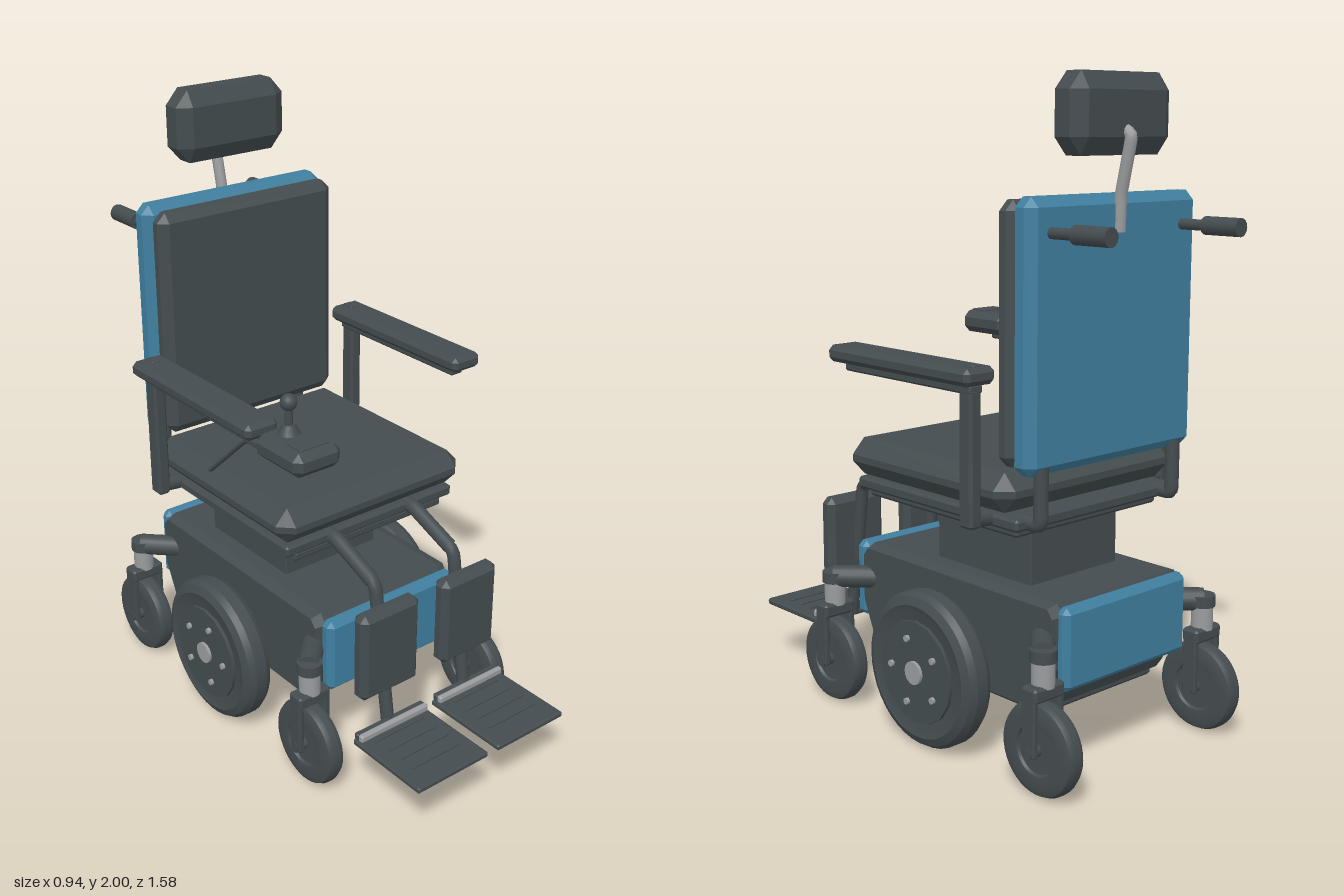
import * as THREE from 'three';
import { ConvexGeometry } from 'three/addons/geometries/ConvexGeometry.js';
import { toCreasedNormals } from 'three/addons/utils/BufferGeometryUtils.js';

const paint = (name, color) => {
  const m = new THREE.MeshStandardMaterial({ color });
  m.name = name;
  return m;
};

export function createModel() {
  const dark = paint('charcoal', 0x444c4f);
  const blue = paint('blue', 0x3f7f9f);
  const silver = paint('silver', 0x9a9c9e);

  const model = new THREE.Group();
  model.name = 'powerWheelchair';
  const chair = new THREE.Group();
  chair.name = 'chair';
  chair.position.x = 0.008;
  model.add(chair);

  const add = (name, geo, mat, x = 0, y = 0, z = 0, parent = chair) => {
    const mesh = new THREE.Mesh(geo, mat);
    mesh.name = name;
    mesh.position.set(x, y, z);
    parent.add(mesh);
    return mesh;
  };

  // Box given by its extents, with every edge chamfered
  const block = (name, mat, [x0, x1], [y0, y1], [z0, z1], c = 0.01, parent = chair) => {
    const [cx, cy, cz] = Array.isArray(c) ? c : [c, c, c];
    const hx = (x1 - x0) / 2, hy = (y1 - y0) / 2, hz = (z1 - z0) / 2;
    const pts = [];
    for (const i of [-1, 1]) for (const j of [-1, 1]) for (const k of [-1, 1]) {
      pts.push(new THREE.Vector3(i * hx, j * (hy - cy), k * (hz - cz)),
        new THREE.Vector3(i * (hx - cx), j * hy, k * (hz - cz)),
        new THREE.Vector3(i * (hx - cx), j * (hy - cy), k * hz));
    }
    return add(name, new ConvexGeometry(pts), mat, (x0 + x1) / 2, (y0 + y1) / 2, (z0 + z1) / 2, parent);
  };

  // Straight round bar between two points
  const rod = (name, mat, a, b, r, parent = chair) => {
    const p = new THREE.Vector3(...a), d = new THREE.Vector3(...b).sub(p);
    const mesh = add(name, new THREE.CylinderGeometry(r, r, d.length(), 16), mat, 0, 0, 0, parent);
    mesh.position.copy(p).addScaledVector(d, 0.5);
    mesh.quaternion.setFromUnitVectors(new THREE.Vector3(0, 1, 0), d.normalize());
    return mesh;
  };

  // Bent round bar; each corner is slightly rounded
  const bentTube = (name, mat, points, r, parent = chair) => {
    const v = points.map(p => new THREE.Vector3(...p));
    const path = new THREE.CurvePath();
    let last = v[0];
    for (let i = 1; i < v.length - 1; i++) {
      const a = v[i].clone().lerp(v[i - 1], 0.15), b = v[i].clone().lerp(v[i + 1], 0.15);
      path.add(new THREE.LineCurve3(last, a));
      path.add(new THREE.QuadraticBezierCurve3(a, v[i], b));
      last = b;
    }
    path.add(new THREE.LineCurve3(last, v[v.length - 1]));
    return add(name, new THREE.TubeGeometry(path, 32, r, 12), mat, 0, 0, 0, parent);
  };

  // Wheel turned about the x axis; profile is [radius, offset]
  const turned = (profile) => {
    const g = new THREE.LatheGeometry(profile.map(p => new THREE.Vector2(...p)), 40);
    g.rotateZ(-Math.PI / 2);
    return toCreasedNormals(g, 0.5);
  };

  // Headrest
  block('headrest', dark, [-0.203, 0.203], [1.772, 2], [-0.597, -0.482], [0.045, 0.05, 0.03]);
  bentTube('headrestPost', silver, [[0, 1.85, -0.575], [0, 1.825, -0.61], [0, 1.66, -0.573], [0, 1.56, -0.57]], 0.018);

  // Backrest
  block('backShell', blue, [-0.347, 0.347], [0.9, 1.667], [-0.57, -0.482], 0.028);
  block('backPad', dark, [-0.337, 0.337], [0.912, 1.656], [-0.485, -0.412], [0.03, 0.03, 0.025]);

  // Seat
  block('seatCushion', dark, [-0.367, 0.367], [0.78, 0.897], [-0.49, 0.238], [0.045, 0.048, 0.045]);
  block('seatPlate', dark, [-0.337, 0.337], [0.735, 0.772], [-0.51, 0.21], 0.008);
  block('seatSupport', dark, [-0.3, 0.3], [0.705, 0.738], [-0.47, 0.2], 0.008);
  block('seatColumn', dark, [-0.185, 0.185], [0.5, 0.71], [-0.412, 0], 0.004);

  // Power base: side outline swept across the width with chamfered flanks
  const outline = new THREE.Shape([[-0.57, 0.515], [-0.59, 0.49], [-0.59, 0.34], [-0.53, 0.215],
    [0.21, 0.215], [0.265, 0.34], [0.265, 0.49], [0.245, 0.515]].map(p => new THREE.Vector2(-p[0], p[1])));
  const baseGeo = new THREE.ExtrudeGeometry(outline, {
    depth: 0.48, bevelEnabled: true, bevelSegments: 1, bevelThickness: 0.035, bevelSize: 0.012,
  });
  baseGeo.translate(0, 0, -0.24).rotateY(Math.PI / 2);
  add('powerBase', baseGeo, dark);
  block('baseTray', dark, [-0.24, 0.24], [0.172, 0.21], [-0.52, 0.2], 0.01);
  block('frontPanel', blue, [-0.262, 0.262], [0.275, 0.525], [0.27, 0.326], 0.018);
  block('rearPanel', blue, [-0.262, 0.262], [0.275, 0.525], [-0.635, -0.585], 0.018);

  const tyre = turned([[0, -0.045], [0.185, -0.045], [0.205, -0.052], [0.23, -0.04], [0.242, -0.02],
    [0.242, 0.02], [0.23, 0.04], [0.205, 0.052], [0.185, 0.045], [0, 0.045]]);
  const casterTyre = turned([[0, -0.022], [0.07, -0.022], [0.075, -0.03], [0.11, -0.034], [0.132, -0.026], [0.14, -0.01],
    [0.14, 0.01], [0.132, 0.026], [0.11, 0.034], [0.075, 0.03], [0.07, 0.022], [0, 0.022]]);

  for (const s of [-1, 1]) {
    const side = s > 0 ? 'left' : 'right';
    const span = (a, b) => (s > 0 ? [a, b] : [-b, -a]);

    // Drive wheel, hub cap and bolts
    const wheel = new THREE.Group();
    wheel.name = side + 'DriveWheel';
    wheel.position.set(s * 0.355, 0.243, -0.15);
    chair.add(wheel);
    add('driveTyre', tyre, dark, 0, 0, 0, wheel);
    rod('driveHub', dark, [s * 0.03, 0, 0], [s * 0.056, 0, 0], 0.16, wheel);
    rod('hubCap', silver, [s * 0.05, 0, 0], [s * 0.066, 0, 0], 0.036, wheel);
    for (let i = 0; i < 5; i++) {
      const a = i * Math.PI * 0.4 + 0.3;
      const y = 0.105 * Math.cos(a), z = 0.105 * Math.sin(a);
      rod('hubBolt', silver, [s * 0.05, y, z], [s * 0.066, y, z], 0.01, wheel);
    }
    rod('driveAxle', dark, [s * -0.12, 0, 0], [0, 0, 0], 0.05, wheel);

    // Front and rear casters on their suspension arms
    for (const [end, z, armZ] of [['Front', 0.33, 0.2], ['Rear', -0.628, -0.5]]) {
      const caster = new THREE.Group();
      caster.name = side + end + 'Caster';
      caster.position.set(s * 0.346, 0, z);
      chair.add(caster);
      add('casterTyre', casterTyre, dark, 0, 0.142, 0, caster);
      rod('casterAxle', dark, [-0.062, 0.142, 0], [0.062, 0.142, 0], 0.018, caster);
      for (const k of [-0.05, 0.05])
        block('forkLeg', dark, [k - 0.01, k + 0.01], [0.13, 0.33], [-0.025, 0.025], 0.004, caster);
      block('forkCrown', dark, [-0.06, 0.06], [0.29, 0.335], [-0.03, 0.03], 0.008, caster);
      rod('swivelCollar', silver, [0, 0.325, 0], [0, 0.405, 0], 0.034, caster);
      rod('swivelCap', dark, [0, 0.4, 0], [0, 0.435, 0], 0.04, caster);
      rod(side + end + 'SuspensionArm', dark, [s * 0.22, 0.418, armZ], [s * 0.35, 0.418, z], 0.036);
    }

    // Back posts and push handles
    bentTube(side + 'BackPost', dark, [[s * 0.28, 0.755, -0.46], [s * 0.28, 0.755, -0.548], [s * 0.28, 0.93, -0.548]], 0.022);
    rod(side + 'HandleBar', dark, [s * 0.27, 1.57, -0.55], [s * 0.27, 1.57, -0.67], 0.016);
    rod(side + 'HandleGrip', dark, [s * 0.27, 1.57, -0.66], [s * 0.27, 1.57, -0.787], 0.027);

    // Armrest
    block(side + 'ArmPad', dark, span(0.345, 0.46), [1.152, 1.203], [-0.44, 0.195], 0.015);
    block(side + 'ArmRail', dark, span(0.375, 0.425), [1.125, 1.153], [-0.415, 0.15], 0.006);
    block(side + 'ArmPost', dark, span(0.38, 0.424), [0.74, 1.14], [-0.416, -0.362], 0.008);
    block(side + 'ArmCap', dark, span(0.388, 0.418), [1.2, 1.208], [-0.42, -0.375], 0.003);
    rod(side + 'ArmBracket', dark, [s * 0.3, 0.755, -0.39], [s * 0.405, 0.765, -0.39], 0.024);

    // Legrest, calf pad and footplate
    bentTube(side + 'LegTube', dark, [[s * 0.16, 0.755, 0.15], [s * 0.16, 0.752, 0.23], [s * 0.16, 0.685, 0.4]], 0.024);
    bentTube(side + 'LowerLegTube', dark,
      [[s * 0.16, 0.7, 0.36], [s * 0.16, 0.675, 0.415], [s * 0.16, 0.45, 0.447], [s * 0.16, 0.21, 0.485]], 0.021);
    block(side + 'CalfPad', dark, span(0.048, 0.276), [0.337, 0.637], [0.44, 0.503], [0.02, 0.02, 0.02]);
    block(side + 'Footplate', dark, span(0.02, 0.302), [0.196, 0.218], [0.485, 0.788], 0.006);
    block(side + 'HeelBar', dark, span(0.025, 0.297), [0.216, 0.24], [0.485, 0.505], 0.005);
    block(side + 'HeelStrip', silver, span(0.025, 0.297), [0.216, 0.243], [0.504, 0.524], 0.006);
    for (const z of [0.54, 0.597, 0.65, 0.705])
      block(side + 'FootplateRidge', dark, span(0.063, 0.259), [0.216, 0.224], [z - 0.005, z + 0.005], 0.002);
  }

  // Joystick control on the right arm, with its cable
  const jx = -0.402;
  block('joystickBracket', dark, [jx - 0.022, jx + 0.022], [1.12, 1.145], [0.12, 0.37], 0.006);
  block('joystickBox', dark, [jx - 0.082, jx + 0.082], [1.142, 1.216], [0.252, 0.46], 0.022);
  block('joystickPanel', dark, [jx - 0.05, jx + 0.05], [1.214, 1.221], [0.37, 0.435], 0.002);
  add('joystickBoot', new THREE.CylinderGeometry(0.018, 0.036, 0.03, 16), dark, jx, 1.228, 0.315);
  rod('joystickStem', dark, [jx, 1.22, 0.315], [jx, 1.31, 0.315], 0.012);
  add('joystickKnob', new THREE.SphereGeometry(0.025, 16, 12), dark, jx, 1.31, 0.315);
  bentTube('joystickCable', dark,
    [[jx, 1.14, 0.26], [-0.385, 1.125, 0.16], [-0.36, 1.075, 0.04], [-0.335, 0.87, -0.2]], 0.007);

  return model;
}
